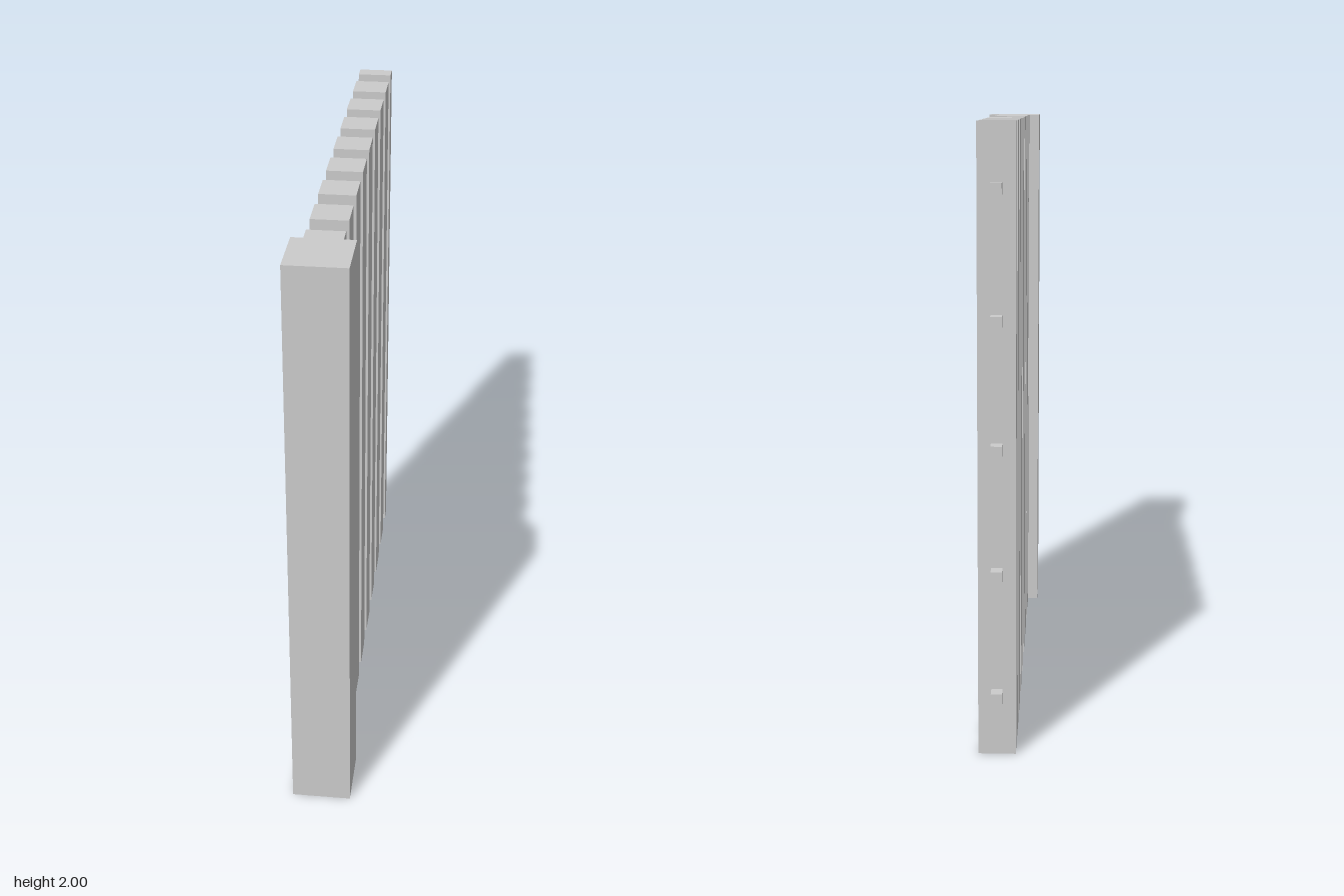
import * as THREE from 'three';

const HEIGHT = 2;
const material = new THREE.MeshStandardMaterial({ color: 0xcccccc, flatShading: true });

// Box spanning z0..z1, centred on x = 0 and on height y
function bar(name, width, height, y, z0, z1) {
  const mesh = new THREE.Mesh(new THREE.BoxGeometry(width, height, z1 - z0), material);
  mesh.name = name;
  mesh.position.set(0, y, (z0 + z1) / 2);
  return mesh;
}

export function createModel() {
  const model = new THREE.Group();
  model.name = 'fencePanel';

  // Thick end post
  model.add(bar('endPost', 0.197, HEIGHT, HEIGHT / 2, 0.724, 0.922));

  // Upright slats: a half slat against the post, seven full ones, a half slat at the far end
  const slats = new THREE.Group();
  slats.name = 'slats';
  const pitch = 0.2, half = 0.06, first = 0.724, count = 9;
  for (let i = 0; i < count; i++) {
    const z = first - i * pitch;
    const back = i === count - 1 ? z : z - half;
    const front = i === 0 ? z : z + half;
    slats.add(bar('slat', 0.12, HEIGHT, HEIGHT / 2, back, front));
  }
  model.add(slats);

  // Thin rails running through the slats and sticking out at the far end
  const rails = new THREE.Group();
  rails.name = 'rails';
  for (let i = 0; i < 5; i++) {
    rails.add(bar('rail', 0.036, 0.036, 0.2 + i * 0.4, -0.922, 0.724));
  }
  model.add(rails);

  return model;
}
